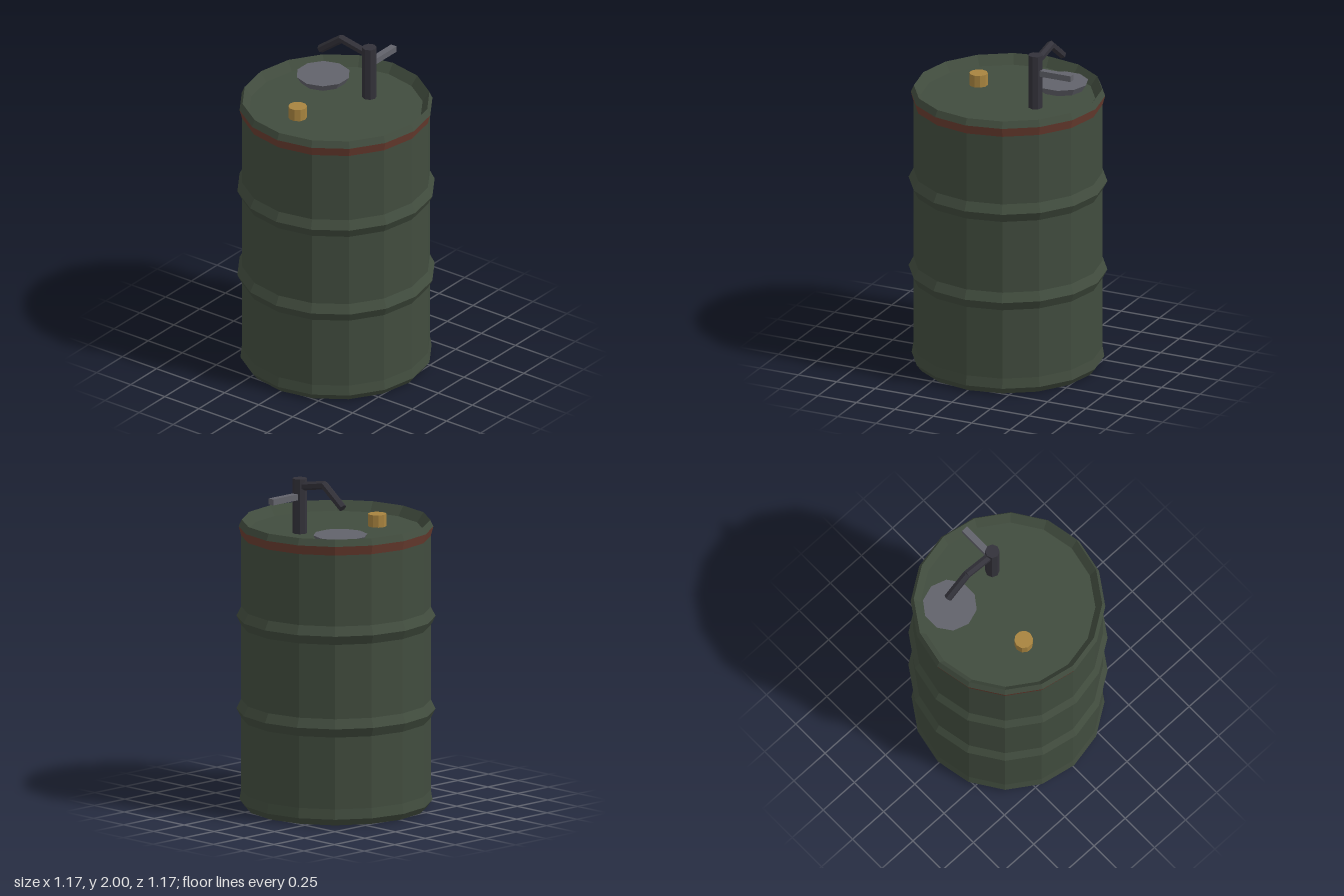
import * as THREE from 'three';

const flat = (name, color) => {
  const m = new THREE.MeshStandardMaterial({ color, flatShading: true });
  m.name = name;
  return m;
};

export function createModel() {
  const green = flat('drum green', 0x414c3e);
  const red = flat('band red', 0x6b3d30);
  const dark = flat('pump black', 0x33323a);
  const grey = flat('steel grey', 0x62636b);
  const brass = flat('brass', 0xa8843f);

  const group = new THREE.Group();
  group.name = 'drumWithPump';
  const add = (name, geometry, material, x = 0, y = 0, z = 0) => {
    const mesh = new THREE.Mesh(geometry, material);
    mesh.name = name;
    mesh.position.set(x, y, z);
    group.add(mesh);
    return mesh;
  };
  // 16-sided surface of revolution from [radius, height] pairs
  const lathe = (pairs) => new THREE.LatheGeometry(pairs.map(([r, y]) => new THREE.Vector2(r, y)), 16);

  // Drum wall with chamfered foot and two rolling ribs
  const R = 0.555;
  const rib = (y) => [[R, y - 0.055], [0.583, y], [R, y + 0.055]];
  add('drumBody', lathe([[0, 0], [0.535, 0], [0.565, 0.04], [R, 0.1], ...rib(0.585), ...rib(1.14), [R, 1.62]]), green);

  // Painted band under the rim, then the rim and recessed lid
  add('paintedBand', lathe([[R, 1.62], [0.57, 1.675]]), red);
  add('rimAndLid', lathe([[0.57, 1.675], [0.552, 1.715], [0.512, 1.657], [0, 1.657]]), green);

  // Filler cap and drip dish on the lid
  add('fillerCap', new THREE.CylinderGeometry(0.055, 0.055, 0.08, 10), brass, -0.24, 1.69, -0.1);
  add('dripDish', new THREE.CylinderGeometry(0.16, 0.13, 0.05, 10), grey, 0.22, 1.675, -0.26).rotation.y = Math.PI / 2;

  // Hand pump: column, crank handle and two-piece spout
  add('pumpColumn', new THREE.CylinderGeometry(0.043, 0.043, 0.335, 8), dark, 0.218, 1.817, 0.08);
  add('pumpHandle', new THREE.BoxGeometry(0.235, 0.036, 0.04), grey, 0.338, 1.878, 0.08);

  const tube = (name, from, to) => {
    const a = new THREE.Vector3(...from), b = new THREE.Vector3(...to);
    const dir = b.clone().sub(a);
    const mesh = add(name, new THREE.CylinderGeometry(0.025, 0.025, dir.length(), 6), dark);
    mesh.position.copy(a).add(b).multiplyScalar(0.5);
    mesh.quaternion.setFromUnitVectors(new THREE.Vector3(0, 1, 0), dir.normalize());
  };
  tube('spoutArm', [0.218, 1.935, 0.08], [0.218, 1.976, -0.13]);
  tube('spoutTip', [0.218, 1.978, -0.12], [0.218, 1.86, -0.278]);

  return group;
}
